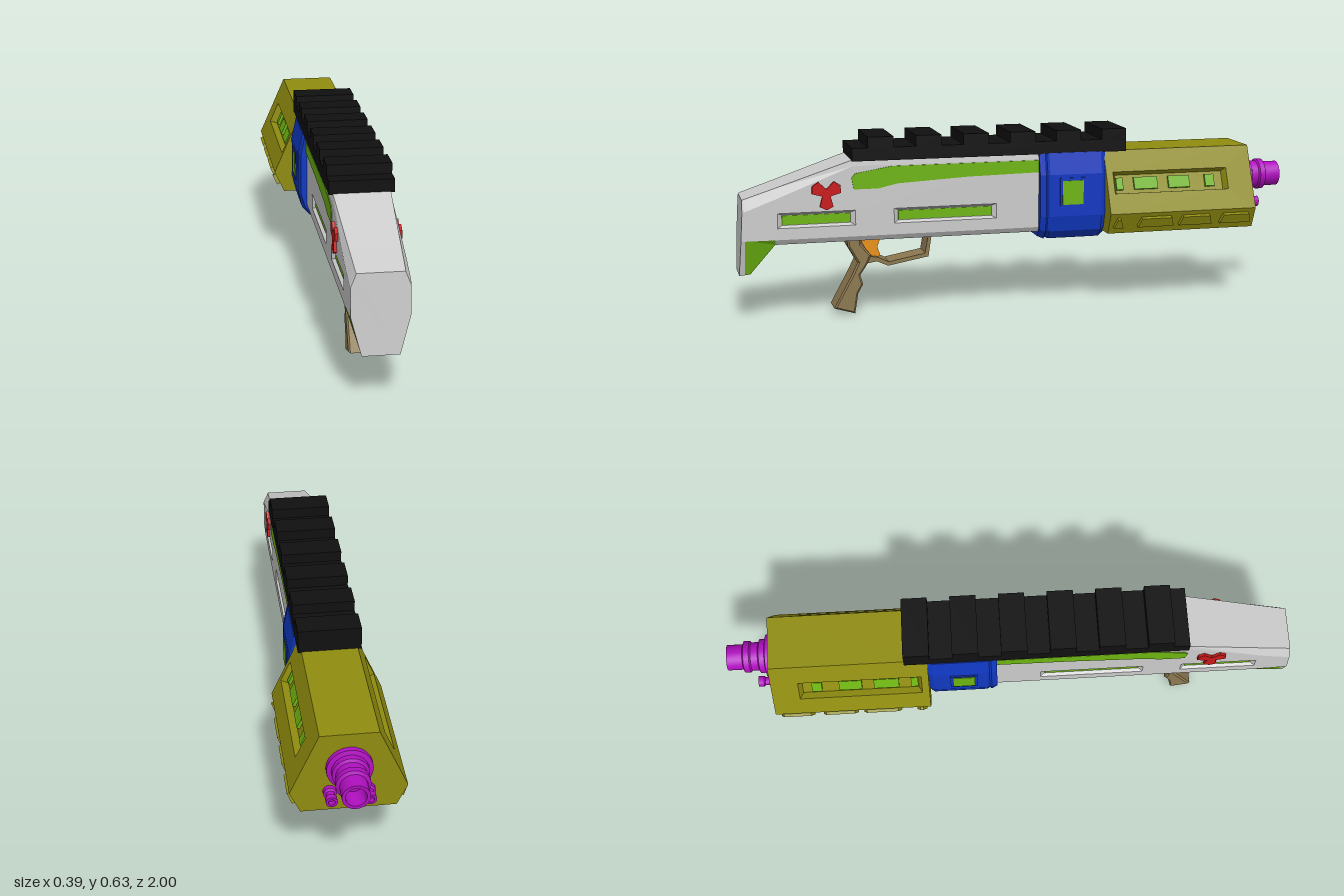
import * as THREE from 'three';
import { toCreasedNormals } from 'three/addons/utils/BufferGeometryUtils.js';

const GREY = 0xcccccc, OLIVE = 0x8f8c10, BLUE = 0x1038c0, GREEN = 0x6eb412, PURPLE = 0xb010c0;
const RED = 0xc81818, BLACK = 0x101010, TAN = 0x8c7850, ORANGE = 0xe89018;

// Skin a list of rings (ordered towards +z); keep(segment, edge) may leave faces out.
function loft(rings, { keep = () => true, first = true, last = true } = {}) {
  const pos = [], n = rings[0].length;
  const tri = (...pts) => pts.forEach((p) => pos.push(...p));
  for (let s = 0; s < rings.length - 1; s++) {
    for (let i = 0; i < n; i++) {
      if (!keep(s, i)) continue;
      const j = (i + 1) % n, a = rings[s], b = rings[s + 1];
      tri(a[i], a[j], b[j]);
      tri(a[i], b[j], b[i]);
    }
  }
  const end = rings[rings.length - 1];
  for (let i = 1; i < n - 1; i++) {
    if (first) tri(rings[0][0], rings[0][i + 1], rings[0][i]);
    if (last) tri(end[0], end[i], end[i + 1]);
  }
  const g = new THREE.BufferGeometry();
  g.setAttribute('position', new THREE.Float32BufferAttribute(pos, 3));
  g.computeVertexNormals();
  return g;
}

// Full ring from its +x half, listed bottom to top.
const ring = (half) => [...half, ...half.slice().reverse().map(([x, y, z]) => [-x, y, z])];

// Copy across x = 0 with the winding restored.
function mirrored(geo) {
  const g = geo.index ? geo.toNonIndexed() : geo.clone();
  const p = g.attributes.position;
  const v = new THREE.Vector3(), w = new THREE.Vector3();
  g.scale(-1, 1, 1);
  for (let i = 0; i < p.count; i += 3) {
    v.fromBufferAttribute(p, i + 1);
    w.fromBufferAttribute(p, i + 2);
    p.setXYZ(i + 1, w.x, w.y, w.z);
    p.setXYZ(i + 2, v.x, v.y, v.z);
  }
  g.computeVertexNormals();
  return g;
}

// Lay local (u, v, out) geometry on the side face rising from (x0,y0) to (x1,y1); u runs along -z.
function onFace(geo, x0, y0, x1, y1) {
  const v = new THREE.Vector3(x1 - x0, y1 - y0, 0).normalize();
  const m = new THREE.Matrix4().makeBasis(new THREE.Vector3(0, 0, -1), v, new THREE.Vector3(v.y, -v.x, 0));
  return geo.applyMatrix4(m.setPosition(x0, y0, 0));
}

const vecs = (pts) => pts.map(([a, b]) => new THREE.Vector2(a, b));
const rect = (u0, u1, v0, v1) => [[u0, v0], [u1, v0], [u1, v1], [u0, v1]];

function plate(pts, from, to, holes = [], bevel = 0) {
  const shape = new THREE.Shape(vecs(pts));
  holes.forEach((h) => shape.holes.push(new THREE.Path(vecs(h))));
  return new THREE.ExtrudeGeometry(shape, {
    depth: to - from - 2 * bevel, bevelEnabled: bevel > 0, bevelSize: bevel,
    bevelThickness: bevel, bevelOffset: -bevel, bevelSegments: 1,
  }).translate(0, 0, from + bevel);
}

// Sloping-walled recess with a floor
function tray(u0, u1, v0, v1, depth, inset) {
  const r = (i, z) => rect(u0 + i, u1 - i, v0 + i * 0.5, v1 - i * 0.5).reverse().map(([u, v]) => [u, v, z]);
  return loft([r(inset, -depth), r(0, 0)], { last: false });
}

export function createModel() {
  const model = new THREE.Group();
  model.name = 'toyBlaster';
  const add = (name, geo, color, side = THREE.FrontSide) => {
    const mesh = new THREE.Mesh(geo, new THREE.MeshStandardMaterial({ color, side }));
    mesh.name = name;
    model.add(mesh);
  };
  const both = (name, geo, color) => {
    add(name + 'Left', geo, color);
    add(name + 'Right', mirrored(geo), color);
  };
  const block = (x, y0, y1, z0, z1) =>
    new THREE.BoxGeometry(2 * x, y1 - y0, z1 - z0).translate(0, (y0 + y1) / 2, (z0 + z1) / 2);

  // Body and stock: each section is bottom edge, lower side, upper side, top edge
  const S = 0.097;
  const section = (z, bx, by, sideTop, tx, ty, sx = S) =>
    ring([[bx, by, z], [sx, 0.29, z], [sx, sideTop, z], [tx, ty, z]]);
  const body = [
    section(-0.06, 0.085, 0.272, 0.535, 0.094, 0.556),
    section(0.61, 0.085, 0.272, 0.535, 0.094, 0.556),
    section(0.877, 0.085, 0.272, 0.43, 0.081, 0.466),
    section(0.962, 0.06, 0.168, 0.398, 0.077, 0.438, 0.095),
    section(0.98, 0.06, 0.166, 0.391, 0.076, 0.432, 0.094),
    ring([[0.06, 0.164, 1], [0.093, 0.29, 0.993], [0.093, 0.385, 0.987], [0.075, 0.43, 0.985]]),
  ];
  const flank = (s, e) => s < 2 && (e === 1 || e === 5);
  const foot = (s, e) => (s === 2 || s === 3) && (e === 0 || e === 6);
  add('body', loft(body, { keep: (s, e) => !flank(s, e) && !foot(s, e) }), GREY);
  add('stockFootInlays', loft(body, { keep: foot, first: false, last: false }), GREEN);

  // Flat body sides with two inlaid slots
  const onBody = (geo) => onFace(geo, S, 0, S, 1);
  const slots = [[-0.868, -0.6], [-0.465, -0.1]];
  both('bodySide', onBody(plate(
    [[-0.877, 0.29], [0.06, 0.29], [0.06, 0.535], [-0.61, 0.535], [-0.877, 0.43]],
    -0.012, 0, slots.map(([a, b]) => rect(a, b, 0.33, 0.382)))), GREY);
  slots.forEach(([a, b], i) => {
    both('slotRecess' + i, onBody(tray(a, b, 0.33, 0.382, 0.014, 0.016)), GREY);
    both('slotInlay' + i, onBody(plate(rect(a + 0.016, b - 0.016, 0.34, 0.372), -0.016, -0.01)), GREEN);
  });
  both('sideStripe', onBody(plate(
    [[-0.605, 0.455], [-0.52, 0.455], [-0.45, 0.47], [-0.2, 0.483], [0.06, 0.488],
      [0.06, 0.531], [-0.47, 0.531], [-0.6, 0.51], [-0.612, 0.495]], -0.005, 0.003)), GREEN);

  // Three-bladed badge
  const badge = [];
  for (let k = 0; k < 3; k++) {
    const mid = Math.PI / 6 + k * Math.PI * 2 / 3;
    [[-0.95, 0.018], [-0.48, 0.05], [0, 0.056], [0.48, 0.05], [0.95, 0.018]].forEach(([a, r]) =>
      badge.push([-0.7 + r * Math.cos(mid + a), 0.444 + r * Math.sin(mid + a)]));
  }
  both('badge', onBody(plate(badge, -0.002, 0.01)), RED);

  // Top rail
  add('railBase', block(0.107, 0.553, 0.598, -0.375, 0.61), BLACK);
  for (let i = 0; i < 6; i++) {
    const z = 0.51 - 0.168 * i;
    add('railTooth' + i, block(0.107, 0.59, 0.635, z - 0.045, z + 0.045), BLACK);
  }

  // Sleeve with bevelled ends and a window
  const sleeve = (z, d) => ring([[0.085 - d, 0.245 + d, z], [0.113 - d, 0.275 + d, z],
    [0.126 - d, 0.33, z], [0.126 - d, 0.48, z], [0.11 - d, 0.556 - d * 0.3, z]]);
  add('sleeve', loft([sleeve(-0.3, 0.012), sleeve(-0.28, 0), sleeve(-0.09, 0),
    sleeve(-0.082, 0.005), sleeve(-0.075, 0), sleeve(-0.055, 0.008)]), BLUE);
  const onSleeve = (geo) => onFace(geo, 0.126, 0, 0.126, 1);
  both('sleeveFrame', onSleeve(plate(rect(0.125, 0.22, 0.362, 0.468), -0.004, 0.004,
    [rect(0.134, 0.211, 0.372, 0.458)])), BLUE);
  both('sleeveWindow', onSleeve(plate(rect(0.134, 0.211, 0.372, 0.458), -0.004, 0.006)), GREEN);

  // Barrel shroud with a recessed window strip in each upper face
  const A = [0.155, 0.265], B = [0.19, 0.34], C = [0.095, 0.556];
  const shroud = [-0.845, -0.295].map((z) => ring([A, B, C].map(([x, y]) => [x, y, z])));
  add('shroud', loft(shroud, { keep: (s, e) => e !== 1 && e !== 3 }), OLIVE);
  const onUpper = (geo) => onFace(geo, ...B, ...C);
  const faceLength = Math.hypot(B[0] - C[0], C[1] - B[1]);
  both('shroudSide', onUpper(plate(rect(0.295, 0.845, 0, faceLength), -0.02, 0,
    [rect(0.32, 0.75, 0.075, 0.155)])), OLIVE);
  both('windowRecess', onUpper(tray(0.32, 0.75, 0.075, 0.155, 0.025, 0.012)), OLIVE);
  [[0.333, 0.358], [0.4, 0.488], [0.53, 0.61], [0.67, 0.705]].forEach(([a, b], i) =>
    both('shroudWindow' + i, onUpper(plate(rect(a, b, 0.093, 0.137), -0.026, -0.015)), GREEN));
  [[0.31, 0.345], [0.4, 0.535], [0.555, 0.68], [0.71, 0.83]].forEach(([a, b], i) =>
    both('lowerRib' + i, onFace(plate([[a, 0.03], [b, 0.03], [b - 0.012, 0.066], [a + 0.012, 0.066]],
      -0.005, 0.013), ...A, ...B), OLIVE));

  // Muzzle and two small nozzles, turned profiles of radius and distance
  const turned = (pts, segments, x, y) => toCreasedNormals(
    new THREE.LatheGeometry(vecs(pts), segments).rotateX(-Math.PI / 2), 0.6).translate(x, y, -0.84);
  add('muzzle', turned([[0.075, 0], [0.075, 0.022], [0.06, 0.026], [0.06, 0.045], [0.05, 0.05],
    [0.05, 0.075], [0.056, 0.08], [0.056, 0.1], [0.045, 0.105], [0.045, 0.16], [0.034, 0.16],
    [0.034, 0.09], [0, 0.09]], 24, 0, 0.432), PURPLE, THREE.DoubleSide);
  [-1, 1].forEach((s) => add(s > 0 ? 'nozzleLeft' : 'nozzleRight',
    turned([[0.022, 0], [0.022, 0.02], [0.014, 0.024], [0.014, 0.04], [0.019, 0.044],
      [0.019, 0.064], [0.011, 0.064], [0.011, 0.045], [0, 0.045]], 16, s * 0.062, 0.34),
    PURPLE, THREE.DoubleSide));

  // Grip, guard and trigger, cut in the side plane and extruded across x
  const across = (pts, half, holes, bevel) =>
    onFace(plate(pts.map(([z, y]) => [-z, y]), -half, half,
      (holes || []).map((h) => h.map(([z, y]) => [-z, y])), bevel), 0, 0, 0, 1);
  add('grip', across([[0.625, 0.285], [0.622, 0.245], [0.588, 0.185], [0.61, 0.14], [0.673, 0.025],
    [0.6, 0.003], [0.588, 0.075], [0.57, 0.107], [0.58, 0.14], [0.556, 0.175], [0.54, 0.21],
    [0.575, 0.25], [0.575, 0.285]], 0.051, [], 0.006), TAN);
  add('triggerGuard', across([[0.6, 0.28], [0.555, 0.18], [0.52, 0.186], [0.48, 0.168],
    [0.335, 0.194], [0.322, 0.28]], 0.045,
  [[[0.575, 0.266], [0.545, 0.205], [0.515, 0.2], [0.478, 0.182], [0.347, 0.206], [0.336, 0.266]]]), TAN);
  add('trigger', across([[0.585, 0.275], [0.5, 0.275], [0.515, 0.235], [0.505, 0.205],
    [0.525, 0.19], [0.556, 0.21]], 0.028), ORANGE);

  return model;
}
